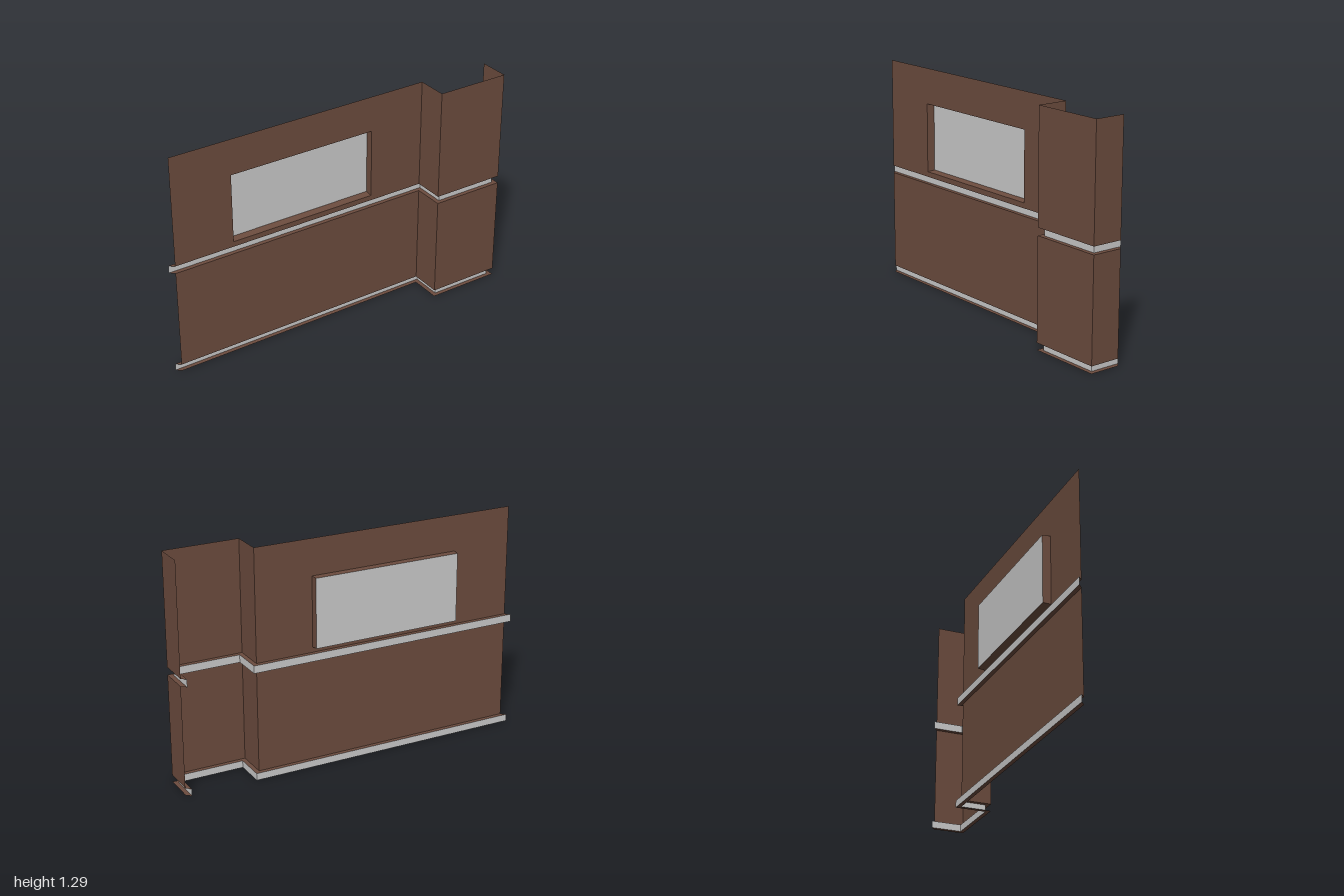
import * as THREE from 'three';

const brown = new THREE.MeshStandardMaterial({ color: 0x6c4c3e, side: THREE.DoubleSide });
const grey = new THREE.MeshStandardMaterial({ color: 0xcccccc, side: THREE.DoubleSide });

// Plan lines [x, z]: wall face, and the grooves set back from it with mitred corners
const wallLine = [[-0.974, -0.065], [0.575, -0.065], [0.575, 0.112], [1, 0.112], [1, -0.065]];
const grooveLine = [[-1, -0.089], [0.6, -0.089], [0.6, 0.088], [0.974, 0.088], [0.974, -0.089]];
const TOP = 1.29;
const at = (line, y) => line.map(([x, z]) => [x, y, z]);

// Flat-shaded strip of quads between two rows of points
function strip(a, b) {
  const pos = [];
  for (let i = 0; i < a.length - 1; i++) {
    for (const p of [a[i], a[i + 1], b[i + 1], a[i], b[i + 1], b[i]]) pos.push(...p);
  }
  const g = new THREE.BufferGeometry();
  g.setAttribute('position', new THREE.Float32BufferAttribute(pos, 3));
  g.computeVertexNormals();
  return g;
}

// Rectangle corners, closed, anticlockwise from the front
const rect = (x0, x1, y0, y1, z) =>
  [[x0, y0, z], [x1, y0, z], [x1, y1, z], [x0, y1, z], [x0, y0, z]];

export function createModel() {
  const model = new THREE.Group();
  const add = (name, geometry, material) => {
    const mesh = new THREE.Mesh(geometry, material);
    mesh.name = name;
    model.add(mesh);
  };

  // Lower wall, and the upper wall of the projecting bay
  add('lowerWall', strip(at(wallLine, 0.04), at(wallLine, 0.616)), brown);
  const bay = wallLine.slice(1);
  add('upperBayWall', strip(at(bay, 0.659), at(bay, TOP)), brown);

  // Grey bands at the floor and mid height, each with a ledge below and above
  for (const [name, y0, y1] of [['base', 0, 0.04], ['middle', 0.616, 0.659]]) {
    add(name + 'Band', strip(at(grooveLine, y0), at(grooveLine, y1)), grey);
    add(name + 'LowerLedge', strip(at(wallLine, y0), at(grooveLine, y0)), brown);
    add(name + 'UpperLedge', strip(at(grooveLine, y1), at(wallLine, y1)), brown);
  }

  // Upper main wall with the window opening
  const opening = rect(-0.626, 0.246, 0.689, 1.085, -0.065);
  const paneEdge = rect(-0.62, 0.246, 0.694, 1.085, -0.109);
  const face = new THREE.Shape([[-0.974, 0.659], [0.575, 0.659], [0.575, TOP], [-0.974, TOP]]
    .map(p => new THREE.Vector2(...p)));
  face.holes.push(new THREE.Path(opening.slice(0, 4).map(([x, y]) => new THREE.Vector2(x, y))));
  add('upperMainWall', new THREE.ShapeGeometry(face).translate(0, 0, -0.065), brown);

  // Window reveal and pane
  add('windowReveal', strip(opening, paneEdge), brown);
  add('windowPane', strip([paneEdge[0], paneEdge[1]], [paneEdge[3], paneEdge[2]]), grey);

  return model;
}
